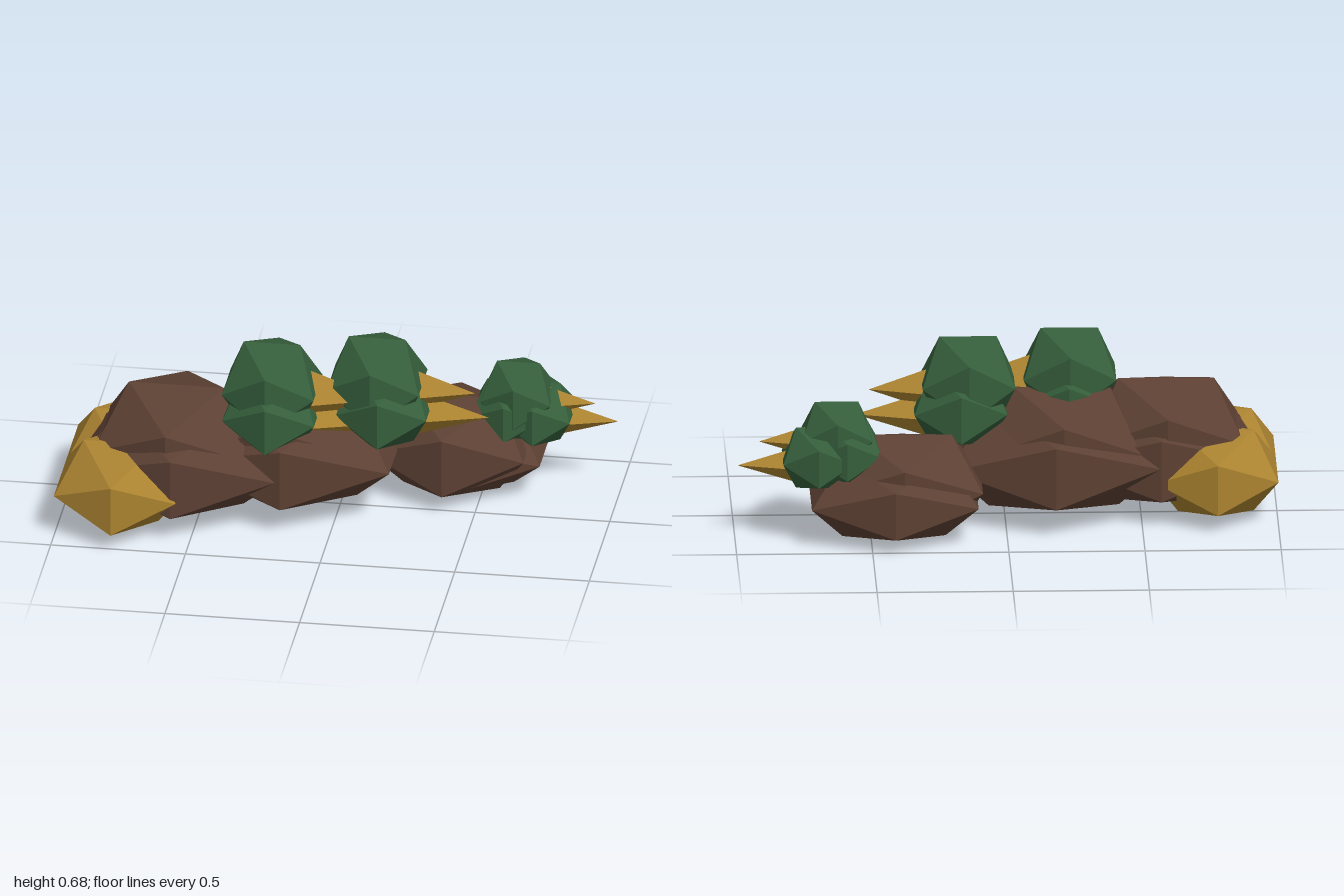
import * as THREE from 'three';

const makeMaterial = (color) => new THREE.MeshStandardMaterial({ color, flatShading: true });

export function createModel() {
  const model = new THREE.Group();
  const brown = makeMaterial(0x5c4033);
  const green = makeMaterial(0x355e3b);
  const gold = makeMaterial(0xaa8230);

  // faceted lump: a stretched icosahedron
  const lump = (name, material, [x, y, z], [rx, ry, rz]) => {
    const mesh = new THREE.Mesh(new THREE.IcosahedronGeometry(1, 0).scale(rx, ry, rz), material);
    mesh.name = name;
    mesh.position.set(x, y, z);
    model.add(mesh);
  };

  // four-sided spike pointing along +x, placed by its tip
  const spike = (name, [x, y, z], radius, length) => {
    const geometry = new THREE.ConeGeometry(radius, length, 4);
    geometry.rotateZ(-Math.PI / 2).translate(-length / 2, 0, 0);
    const mesh = new THREE.Mesh(geometry, gold);
    mesh.name = name;
    mesh.position.set(x, y, z);
    model.add(mesh);
  };

  // pair of golden lumps at the rear end
  for (const z of [0.255, -0.015]) lump('tailLump', gold, [-0.775, 0.165, z], [0.265, 0.182, 0.317]);

  // three overlapping bodies, each with a lower and an upper lump
  lump('rearBodyLower', brown, [-0.57, 0.217, 0.105], [0.435, 0.22, 0.37]);
  lump('rearBodyUpper', brown, [-0.595, 0.28, 0.09], [0.335, 0.246, 0.33]);
  lump('middleBodyLower', brown, [-0.18, 0.227, -0.012], [0.456, 0.223, 0.371]);
  lump('middleBodyUpper', brown, [-0.21, 0.28, -0.015], [0.335, 0.246, 0.33]);
  lump('frontBodyLower', brown, [0.415, 0.148, -0.275], [0.36, 0.17, 0.294]);
  lump('frontBodyUpper', brown, [0.38, 0.187, -0.215], [0.34, 0.216, 0.294]);

  // green heads, stacked in pairs
  lump('rearHeadUpper', green, [-0.24, 0.515, 0.09], [0.2, 0.2, 0.213]);
  lump('rearHeadLower', green, [-0.235, 0.42, 0.095], [0.2, 0.17, 0.245]);
  lump('middleHeadUpper', green, [0.135, 0.515, -0.01], [0.2, 0.2, 0.215]);
  lump('middleHeadLower', green, [0.165, 0.42, -0.01], [0.2, 0.17, 0.24]);
  lump('frontHeadUpper', green, [0.625, 0.38, -0.243], [0.152, 0.152, 0.167]);
  lump('frontHeadLower', green, [0.59, 0.32, -0.245], [0.152, 0.135, 0.185]);
  lump('frontHeadSide', green, [0.695, 0.305, -0.273], [0.152, 0.135, 0.19]);

  // golden beaks, two to each head
  spike('rearBeakUpper', [0.18, 0.485, 0.09], 0.11, 0.31);
  spike('rearBeakLower', [0.2, 0.39, 0.09], 0.115, 0.36);
  spike('middleBeakUpper', [0.5, 0.485, -0.01], 0.11, 0.31);
  spike('middleBeakLower', [0.55, 0.39, -0.01], 0.115, 0.36);
  spike('frontBeakUpper', [0.91, 0.36, -0.245], 0.08, 0.25);
  spike('frontBeakLower', [0.99, 0.278, -0.275], 0.083, 0.27);

  return model;
}
